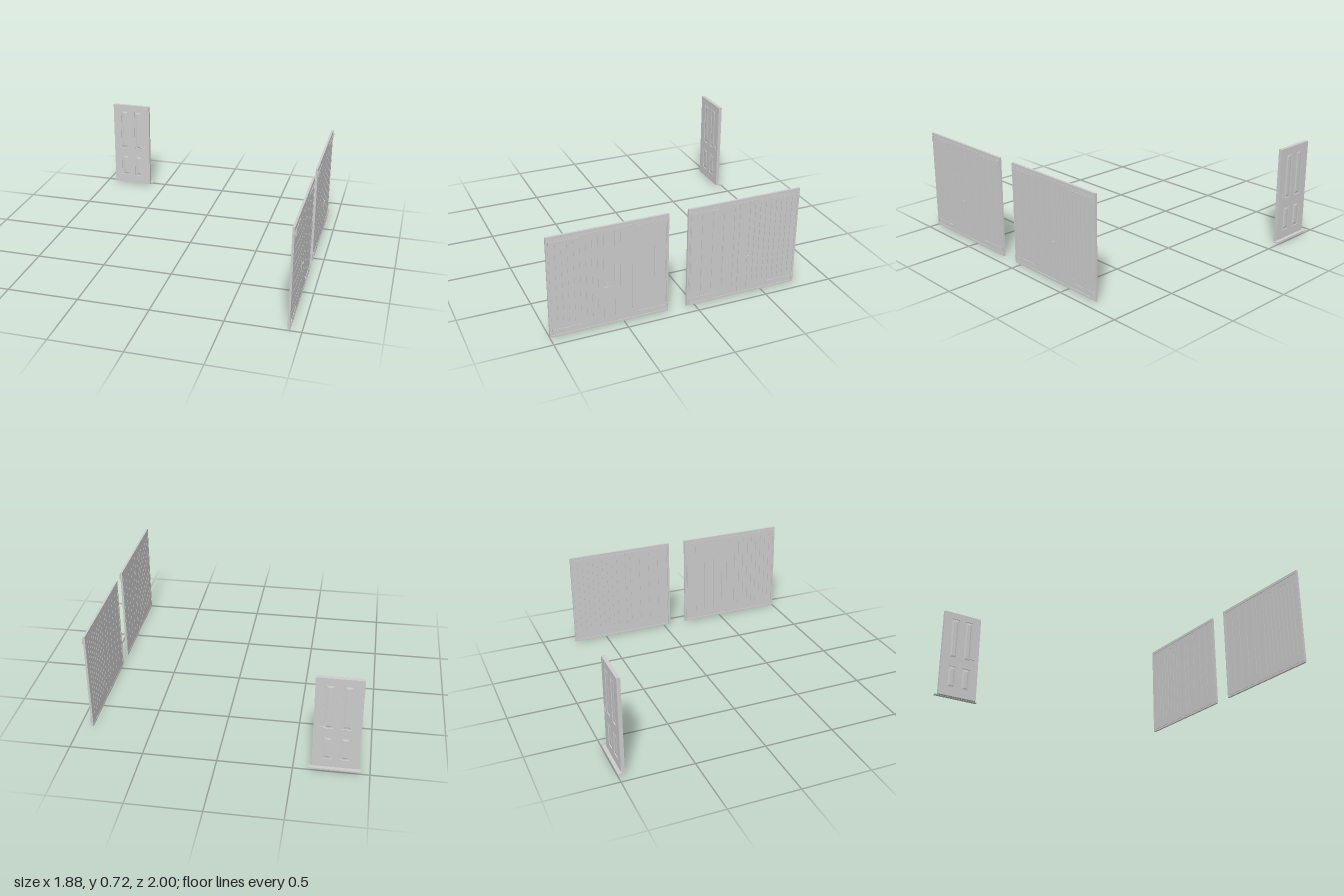
import * as THREE from 'three';

const grey = new THREE.MeshStandardMaterial({ color: 0xcccccc, flatShading: true });

function add(parent, name, geometry, x = 0, y = 0, z = 0) {
  const mesh = new THREE.Mesh(geometry, grey);
  mesh.name = name;
  mesh.position.set(x, y, z);
  parent.add(mesh);
  return mesh;
}

// Box given by its limits on each axis
function slab(parent, name, x0, x1, y0, y1, z0, z1) {
  return add(parent, name, new THREE.BoxGeometry(Math.abs(x1 - x0), y1 - y0, z1 - z0),
    (x0 + x1) / 2, (y0 + y1) / 2, (z0 + z1) / 2);
}

function trace(path, x0, x1, y0, y1) {
  path.moveTo(x0, y0);
  path.lineTo(x1, y0);
  path.lineTo(x1, y1);
  path.lineTo(x0, y1);
  path.closePath();
  return path;
}

// Rectangular sheet with rectangular openings, each [x0, x1, y0, y1]
function sheet(outer, holes, depth) {
  const shape = trace(new THREE.Shape(), ...outer);
  for (const h of holes) shape.holes.push(trace(new THREE.Path(), ...h));
  return new THREE.ExtrudeGeometry(shape, { depth, bevelEnabled: false });
}

// Rod along x, y or z
function rod(parent, name, radius, length, axis, x, y, z) {
  const g = new THREE.CylinderGeometry(radius, radius, length, 10);
  if (axis === 'x') g.rotateZ(Math.PI / 2);
  if (axis === 'z') g.rotateX(Math.PI / 2);
  return add(parent, name, g, x, y, z);
}

// Tapered raised field: a four-sided frustum, big end at z = 0, pointing to dir
function raisedField(parent, x0, x1, y0, y1, z, dir) {
  const h = 0.004, inset = 0.012;
  const w = x1 - x0, t = y1 - y0;
  const g = new THREE.BoxGeometry(w, t, h);
  const p = g.attributes.position;
  for (let i = 0; i < p.count; i++) {
    if (p.getZ(i) * dir > 0) {
      p.setX(i, p.getX(i) * (1 - 2 * inset / w));
      p.setY(i, p.getY(i) * (1 - 2 * inset / t));
    }
  }
  g.computeVertexNormals();
  add(parent, 'raisedPanel', g, (x0 + x1) / 2, (y0 + y1) / 2, z + dir * h / 2);
}

// Lever handle on a plate; z is the door face, dir the outward side, reach along x
function leverHandle(parent, x, y, z, dir, reach, out) {
  const g = new THREE.Group();
  g.name = 'handle';
  parent.add(g);
  add(g, 'handlePlate', new THREE.BoxGeometry(0.012, 0.065, 0.003), x, y - 0.018, z + dir * 0.0015);
  rod(g, 'handleSpindle', 0.003, out, 'z', x, y, z + dir * out / 2);
  rod(g, 'handleLever', 0.003, Math.abs(reach) + 0.004, 'x', x + reach / 2, y, z + dir * (out - 0.003));
}

// Double garage door built facing local +z; side = 1 or -1 mirrors it
function garageDoor(name, side) {
  const g = new THREE.Group();
  g.name = name;
  const half = 0.405, top = 0.717, thick = 0.015;
  const at = d => side * (d - half);
  const span = (d0, d1) => [Math.min(at(d0), at(d1)), Math.max(at(d0), at(d1))];

  // Surrounding frame
  add(g, 'garageFrame', sheet([-half, half, 0, top],
    [[-half + 0.013, half - 0.013, 0.014, top - 0.021]], thick));

  // Grooved leaves: short slots between planks, full slots beside the centre post
  const slots = [];
  for (let i = 0; i < 8; i++) slots.push([0.055 + i * 0.039, 0.08, 0.66]);
  for (let i = 0; i < 5; i++) slots.push([0.479 + i * 0.0775, 0.08, 0.66]);
  slots.push([0.367, 0.02, 0.69], [0.439, 0.02, 0.69]);
  const holes = slots.map(([d, y0, y1]) => [...span(d - 0.0022, d + 0.0022), y0, y1]);
  const leaf = add(g, 'garageLeaves',
    sheet([-half + 0.015, half - 0.015, 0.016, top - 0.023], holes, thick - 0.002));
  leaf.position.z = 0.001;
  slab(g, 'leafCore', -half + 0.005, half - 0.005, 0.005, top - 0.005, 0.005, 0.010);

  // Strap hinges with knuckles and bolts in the four corners
  for (const e of [-1, 1]) {
    for (const y of [0.05, 0.677]) {
      const strap = add(g, 'hingeStrap', new THREE.BoxGeometry(0.205, 0.012, 0.003),
        e * (half - 0.11), y, thick + 0.0015);
      strap.scale.y = 0.9;
      rod(g, 'hingeKnuckle', 0.005, 0.036, 'y', e * (half - 0.011), y, thick + 0.005);
      for (const d of [0.045, 0.12, 0.2])
        rod(g, 'hingeBolt', 0.004, 0.004, 'z', e * (half - d), y, thick + 0.004);
    }
  }

  leverHandle(g, at(0.365), 0.29, thick, 1, side * 0.028, 0.014);
  return g;
}

// Panelled entry door with sill, facing +z
function entryDoor() {
  const g = new THREE.Group();
  g.name = 'entryDoor';
  const back = -0.975, front = -0.949, mid = (back + front) / 2;
  const openings = [];
  for (const [x0, x1] of [[-0.864, -0.798], [-0.748, -0.684]])
    for (const [y0, y1] of [[0.322, 0.648], [0.08, 0.252]]) openings.push([x0, x1, y0, y1]);

  add(g, 'doorFrame', sheet([-0.926, -0.62, 0.011, 0.699], openings, front - back), 0, 0, back);
  for (const [x0, x1, y0, y1] of openings) {
    slab(g, 'doorPanel', x0, x1, y0, y1, mid - 0.007, mid + 0.007);
    for (const dir of [-1, 1])
      raisedField(g, x0 + 0.008, x1 - 0.008, y0 + 0.008, y1 - 0.008, mid + dir * 0.007, dir);
  }
  slab(g, 'doorSill', -0.942, -0.598, 0.009, 0.018, -1, back + 0.002);
  leverHandle(g, -0.66, 0.338, front, 1, -0.032, 0.014);
  leverHandle(g, -0.66, 0.338, back, -1, -0.032, 0.014);
  return g;
}

export function createModel() {
  const model = new THREE.Group();
  model.name = 'doorSet';
  model.add(entryDoor());
  for (const [name, side, z] of [['frontGarageDoor', 1, 0.595], ['rearGarageDoor', -1, -0.348]]) {
    const door = garageDoor(name, side);
    door.rotation.y = Math.PI / 2;
    door.position.set(0.908, 0, z);
    model.add(door);
  }
  return model;
}
